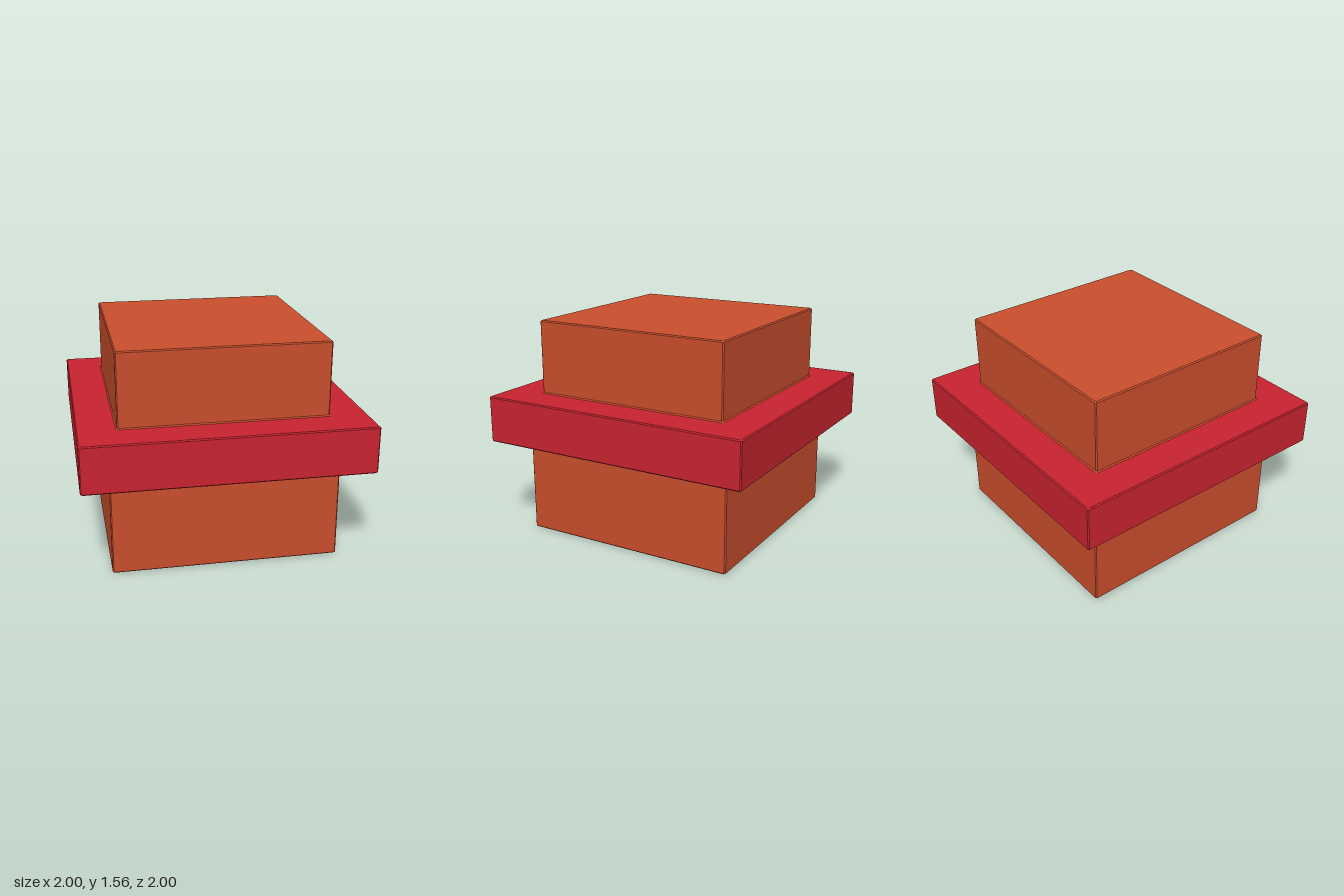
import * as THREE from 'three';

const BEVEL = 0.008;
const ORANGE = 0xc94e2d;
const RED = 0xc8232f;

// Square ring with slightly cut corners, counter-clockwise seen from above
function ring([half, y]) {
  const points = [];
  const c = half - Math.min(BEVEL, half);
  for (let i = 0; i < 4; i++) {
    const a = (i * Math.PI) / 2;
    for (const [x, z] of [[half, -c], [half, c]]) {
      points.push([x * Math.cos(a) - z * Math.sin(a), y, x * Math.sin(a) + z * Math.cos(a)]);
    }
  }
  return points;
}

// Skin a profile of [half width, height] steps, listed from bottom to top
function squareTier(name, color, profile) {
  const positions = [];
  for (let k = 0; k < profile.length - 1; k++) {
    const low = ring(profile[k]);
    const high = ring(profile[k + 1]);
    for (let i = 0; i < 8; i++) {
      const j = (i + 1) % 8;
      if (profile[k][0] > 0) positions.push(...low[i], ...high[i], ...low[j]);
      if (profile[k + 1][0] > 0) positions.push(...low[j], ...high[i], ...high[j]);
    }
  }
  const geometry = new THREE.BufferGeometry();
  geometry.setAttribute('position', new THREE.Float32BufferAttribute(positions, 3));
  geometry.computeVertexNormals();
  const material = new THREE.MeshStandardMaterial({ color, flatShading: true });
  const mesh = new THREE.Mesh(geometry, material);
  mesh.name = name;
  return mesh;
}

export function createModel() {
  const group = new THREE.Group();
  group.name = 'tieredBlock';
  const b = BEVEL;

  group.add(
    // Lower block, flaring slightly where it meets the band
    squareTier('base', ORANGE, [
      [0, 0], [0.8 - b, 0], [0.8, b], [0.8, 0.695 - b], [0.8 + b, 0.695],
    ]),
    // Wide overhanging band, open where the blocks join it
    squareTier('band', RED, [
      [0.8 + b, 0.695], [1 - b, 0.695], [1, 0.695 + b],
      [1, 1.03 - b], [1 - b, 1.03], [0.73 + b, 1.03],
    ]),
    // Upper block, with a small flare at its foot
    squareTier('upperBlock', ORANGE, [
      [0.73 + b, 1.03], [0.73, 1.03 + b], [0.73, 1.56 - b], [0.73 - b, 1.56], [0, 1.56],
    ]),
  );
  return group;
}
